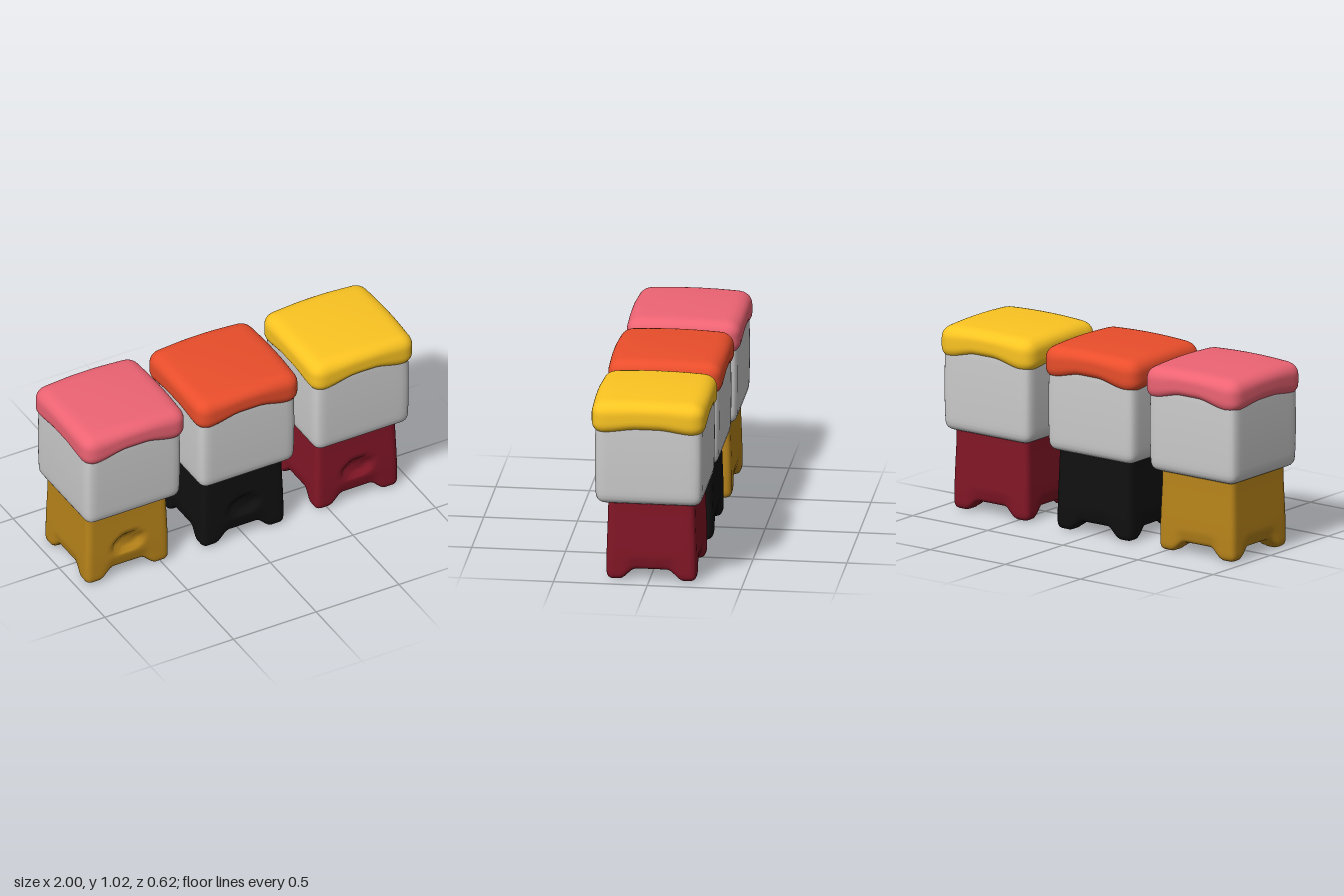
import * as THREE from 'three';
import { mergeVertices } from 'three/addons/utils/BufferGeometryUtils.js';

const { smoothstep, clamp } = THREE.MathUtils;

// Smooth rounded box (half sizes hx, hy, hz), then reshaped by a rule on each vertex
function softBox(hx, hy, hz, radius, segs, ySegs, rule) {
  let geo = new THREE.BoxGeometry(2, 2, 2, segs, ySegs, segs);
  geo.deleteAttribute('uv');
  geo.deleteAttribute('normal');
  geo = mergeVertices(geo);
  const pos = geo.attributes.position;
  const p = new THREE.Vector3(), inner = new THREE.Vector3();
  // pack more loops close to the rounded edges
  const spread = (t) => Math.sign(t) * (1 - Math.pow(1 - Math.abs(t), 1.35));
  for (let i = 0; i < pos.count; i++) {
    p.fromBufferAttribute(pos, i);
    p.set(spread(p.x) * hx, spread(p.y) * hy, spread(p.z) * hz);
    inner.set(
      clamp(p.x, radius - hx, hx - radius),
      clamp(p.y, radius - hy, hy - radius),
      clamp(p.z, radius - hz, hz - radius)
    );
    p.sub(inner).setLength(radius).add(inner);
    rule(p);
    pos.setXYZ(i, p.x, p.y, p.z);
  }
  geo.computeVertexNormals();
  return geo;
}

// Body: slight taper, four stubby feet and an oval dimple in the front
function bodyGeometry() {
  const h = 0.24;
  return softBox(0.25, h, 0.24, 0.035, 28, 24, (p) => {
    const y = p.y + h;
    const arch = (v) => 1 - smoothstep(Math.abs(v), 0.09, 0.17);
    const gap = Math.max(arch(p.x), arch(p.z));
    const low = 1 - smoothstep(y, 0, 0.13);
    // pull the rim in above each arch
    const tuck = 1 - 0.05 * gap * low;
    const taper = 1 - 0.035 * smoothstep(y, 0.1, 0.45);
    const frontFace = p.z > 0.2;
    const r = Math.hypot(p.x / 0.075, (y - 0.2) / 0.042);
    p.x *= taper * tuck;
    p.z *= taper * tuck;
    if (frontFace) p.z -= 0.03 * (1 - smoothstep(r, 0.85, 1.45));
    p.y = y + 0.057 * gap * (1 - clamp(y / 0.16, 0, 1));
  });
}

// Head: a soft cube with gently bowed sides
function headGeometry() {
  return softBox(0.285, 0.25, 0.283, 0.05, 18, 18, (p) => {
    const bow = 1 + 0.02 * (1 - (p.y / 0.25) ** 2);
    p.x *= bow;
    p.z *= bow;
    p.y += 0.68;
  });
}

// Cap: a cushion with a domed top and a lower rim that rises mid-side
function capGeometry() {
  const h = 0.097;
  return softBox(0.307, h, 0.302, 0.07, 24, 14, (p) => {
    const ax = Math.abs(p.x), az = Math.abs(p.z);
    const rise = az > ax
      ? 0.04 * (1 - smoothstep(ax, 0.05, 0.24))
      : 0.024 * (1 - smoothstep(az, 0.05, 0.24));
    const below = clamp((h - p.y) / (2 * h), 0, 1);
    const dome = 0.011 * ((ax / 0.3) ** 2 + (az / 0.3) ** 2);
    p.y += 0.919 + rise * below - dome * (1 - below);
    p.x *= 1 + 0.015 * (1 - (az / 0.31) ** 2);
    p.z *= 1 + 0.015 * (1 - (ax / 0.31) ** 2);
  });
}

export function createModel() {
  const model = new THREE.Group();
  model.name = 'blockFigures';
  const body = bodyGeometry(), head = headGeometry(), cap = capGeometry();
  const grey = new THREE.MeshStandardMaterial({ color: 0xcccccc });

  const figures = [
    { name: 'rightFigure', x: -0.688, z: -0.009, bodyX: -0.012, cap: 0xee6474, body: 0xb8841a },
    { name: 'middleFigure', x: -0.007, z: 0.002, bodyX: 0, cap: 0xea4e2b, body: 0x101010 },
    { name: 'leftFigure', x: 0.687, z: 0.002, bodyX: -0.007, cap: 0xfcc522, body: 0x821626 },
  ];

  for (const f of figures) {
    const figure = new THREE.Group();
    figure.name = f.name;
    figure.position.set(f.x, 0, f.z);
    const add = (name, geo, material, x = 0, z = 0) => {
      const mesh = new THREE.Mesh(geo, material);
      mesh.name = name;
      mesh.position.set(x, 0, z);
      figure.add(mesh);
    };
    add('body', body, new THREE.MeshStandardMaterial({ color: f.body }), f.bodyX, -0.012);
    add('head', head, grey, f.bodyX * 0.3, -0.002);
    add('cap', cap, new THREE.MeshStandardMaterial({ color: f.cap }));
    model.add(figure);
  }
  return model;
}
